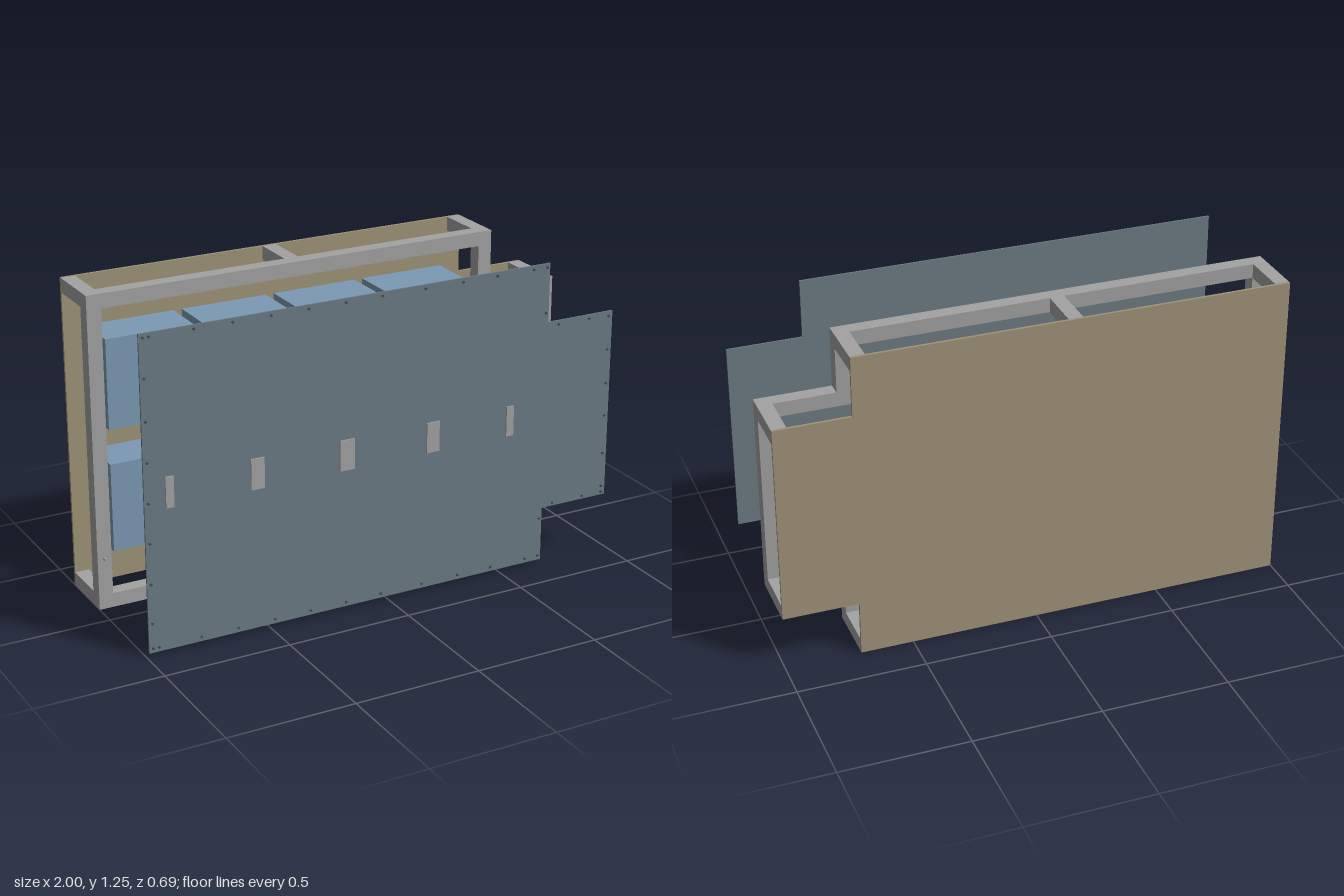
import * as THREE from 'three';

const mat = (name, color) => Object.assign(new THREE.MeshStandardMaterial({ color }), { name });

// Stepped outline: a tall main rectangle with a lower, shorter extension on its left side, inset by d
const outline = (d) => [
  [-1 + d, d], [0.705 - d, d], [0.705 - d, 0.22 + d], [1 - d, 0.22 + d],
  [1 - d, 1.012 - d], [0.705 - d, 1.012 - d], [0.705 - d, 1.247 - d], [-1 + d, 1.247 - d],
].map(([x, y]) => new THREE.Vector2(x, y));

export function createModel() {
  const steel = mat('frame grey', 0xa2a2a2);
  const slate = mat('cover slate', 0x6c7a83);
  const blue = mat('block blue', 0x7c9ab4);
  const tan = mat('back panel tan', 0x9f9378);
  const dark = mat('screw grey', 0x4a4e52);
  const model = new THREE.Group();

  const add = (name, geometry, material, x = 0, y = 0, z = 0) => {
    const mesh = new THREE.Mesh(geometry, material);
    mesh.name = name;
    mesh.position.set(x, y, z);
    model.add(mesh);
    return mesh;
  };
  // Box given by its limits on each axis
  const box = (name, material, x0, x1, y0, y1, z0, z1) =>
    add(name, new THREE.BoxGeometry(x1 - x0, y1 - y0, z1 - z0), material,
      (x0 + x1) / 2, (y0 + y1) / 2, (z0 + z1) / 2);
  // Flat plate cut to the stepped outline, optionally hollowed to a rim
  const plate = (name, material, inset, z0, z1, rim = 0) => {
    const shape = new THREE.Shape(outline(inset));
    if (rim) shape.holes.push(new THREE.Path(outline(rim)));
    add(name, new THREE.ExtrudeGeometry(shape, { depth: z1 - z0, bevelEnabled: false }), material, 0, 0, z0);
  };

  const bar = 0.057, frameFront = -0.096, frameBack = -0.335;

  // Back panel, front rim of the frame and detached front cover
  plate('backPanel', tan, 0, -0.346, frameBack);
  plate('frameRim', steel, 0, frameFront - bar, frameFront, bar);
  plate('frontCover', slate, 0.012, 0.333, 0.34);

  // Depth bars joining the rim to the back panel
  const depthBar = (x, y) => box('depthBar', steel, x, x + bar, y, y + bar, frameBack, frameFront - bar);
  for (const x of [-1, -0.175, 0.705 - bar]) {
    depthBar(x, 0);
    depthBar(x, 1.247 - bar);
  }
  depthBar(1 - bar, 0.22);
  depthBar(1 - bar, 1.012 - bar);

  // Two rows of four blocks inside the frame
  for (const y of [0.2, 0.695]) {
    for (let i = 0; i < 4; i++) {
      const x = -0.91 + i * 0.39;
      box('block', blue, x, x + 0.355, y, y + 0.355, frameBack, -0.152);
    }
  }

  // Small raised tabs across the front cover
  for (const [x, w] of [[-0.89, 0.032], [-0.543, 0.054], [-0.176, 0.06], [0.19, 0.054], [0.53, 0.032]]) {
    box('coverTab', steel, x - w / 2, x + w / 2, 0.57, 0.69, 0.34, 0.346);
  }

  // Screws around the edge of the cover
  const screw = new THREE.CylinderGeometry(0.005, 0.005, 0.005, 10).rotateX(Math.PI / 2);
  const addScrew = (x, y) => add('coverScrew', screw, dark, x, y, 0.3425);
  const leftYs = [0.03, 0.13, 0.285, 0.445, 0.6, 0.755, 0.91, 1.07, 1.22];
  leftYs.forEach((y) => addScrew(-0.973, y));
  for (const y of [0.245, 0.27, 0.41, 0.57, 0.705, 0.845, 0.98]) addScrew(0.97, y);
  for (const y of [0.03, 1.22]) {
    for (const x of [-0.95, -0.78, -0.63, -0.48, -0.33, -0.18, -0.03, 0.15, 0.31, 0.46, 0.62, 0.68]) addScrew(x, y);
  }
  for (const y of [0.19, 1.04]) addScrew(0.68, y);
  for (const y of [0.245, 0.985]) {
    for (const x of [0.74, 0.88]) addScrew(x, y);
  }

  // Locating pins on the frame rim
  const pin = new THREE.CylinderGeometry(0.006, 0.006, 0.016, 12).rotateX(Math.PI / 2);
  add('locatingPin', pin, steel, 0.972, 0.775, frameFront + 0.008);
  add('locatingPin', pin, steel, -0.972, 0.207, frameFront + 0.008);

  return model;
}
